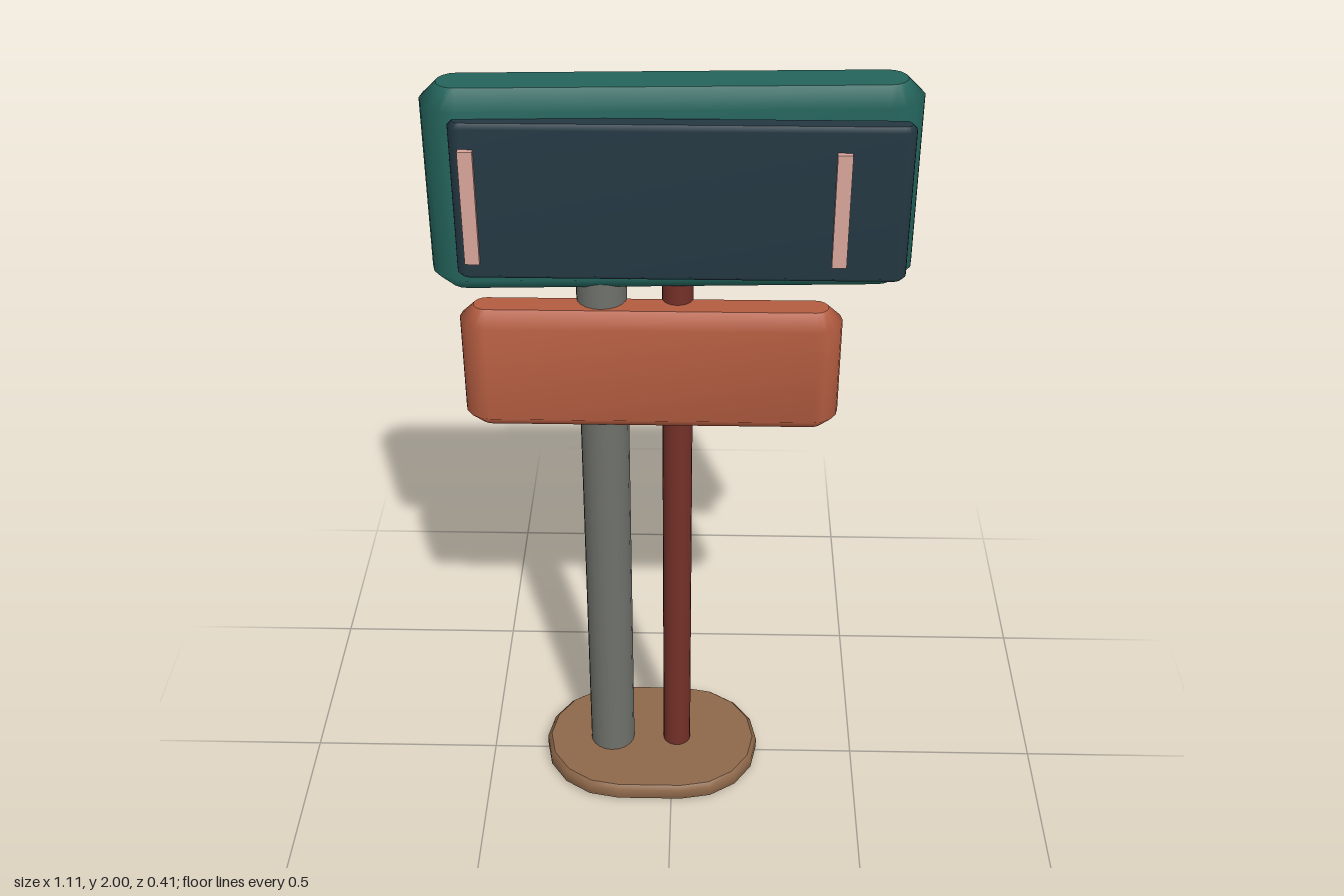
import * as THREE from 'three';

const mat = (name, color) => {
  const m = new THREE.MeshStandardMaterial({ color });
  m.name = name;
  return m;
};

// Round-ended slab standing on y = 0: smooth chamfered wall, crisp flat caps
function slabGeometry(length, depth, height, chamfer) {
  const half = length / 2 - depth / 2, steps = 8;
  const ring = (inset, y) => {
    const pts = [];
    for (const side of [1, -1]) {
      for (let i = 0; i <= steps; i++) {
        const a = -Math.PI / 2 + (i / steps) * Math.PI;
        const r = depth / 2 - inset;
        pts.push([side * (half + r * Math.cos(a)), y, side * r * Math.sin(a)]);
      }
    }
    return pts;
  };
  const rings = [
    ring(chamfer, 0), ring(0, chamfer),
    ring(0, height - chamfer), ring(chamfer, height),
  ];
  const n = rings[0].length;
  const pos = rings.flat(2), index = [];
  for (let k = 0; k < 3; k++) {
    for (let i = 0; i < n; i++) {
      const a = k * n + i, b = k * n + (i + 1) % n;
      index.push(a, a + n, b, b, a + n, b + n);
    }
  }
  // caps use their own vertices so their edges stay sharp
  pos.push(...rings[0].flat(), ...rings[3].flat());
  for (let i = 1; i < n - 1; i++) {
    index.push(4 * n, 4 * n + i, 4 * n + i + 1);
    index.push(5 * n, 5 * n + i + 1, 5 * n + i);
  }
  const g = new THREE.BufferGeometry();
  g.setAttribute('position', new THREE.Float32BufferAttribute(pos, 3));
  g.setIndex(index);
  g.computeVertexNormals();
  return g;
}

export function createModel() {
  const group = new THREE.Group();
  const add = (name, geometry, material, x, y, z) => {
    const m = new THREE.Mesh(geometry, material);
    m.name = name;
    m.position.set(x, y, z);
    group.add(m);
    return m;
  };

  const green = mat('teal green', 0x24645c);
  const navy = mat('dark slate', 0x243843);
  const orange = mat('terracotta', 0xb35c40);
  const grey = mat('grey', 0x6f716b);
  const red = mat('dark red', 0x743029);
  const brown = mat('brown', 0x8e684a);
  const pink = mat('pale pink', 0xd8a59b);

  // Base plate
  add('base', slabGeometry(0.585, 0.415, 0.05, 0.011), brown, -0.058, 0, -0.002);

  // Two posts rising into the upper board
  const post = (r) => new THREE.CylinderGeometry(r, r, 1.52, 20);
  add('thickPost', post(0.06), grey, -0.167, 0.79, 0);
  add('thinPost', post(0.037), red, 0.012, 0.79, 0);

  // Lower board, fixed to the front of the posts
  add('lowerBoard', slabGeometry(0.9, 0.127, 0.317, 0.034), orange, -0.05, 1.139, 0.037);

  // Upper board, turned slightly
  const upper = add('upperBoard', slabGeometry(1.112, 0.165, 0.49, 0.039), green, 0, 1.51, -0.002);
  upper.rotation.y = 0.041;

  // Face panel with two upright bars
  add('facePanel', slabGeometry(1.015, 0.055, 0.375, 0.011), navy, 0.022, 1.57, 0.103);
  for (const x of [-0.446, 0.375]) {
    add('panelBar', new THREE.BoxGeometry(0.033, 0.273, 0.03), pink, x, 1.752, 0.129);
  }
  return group;
}
